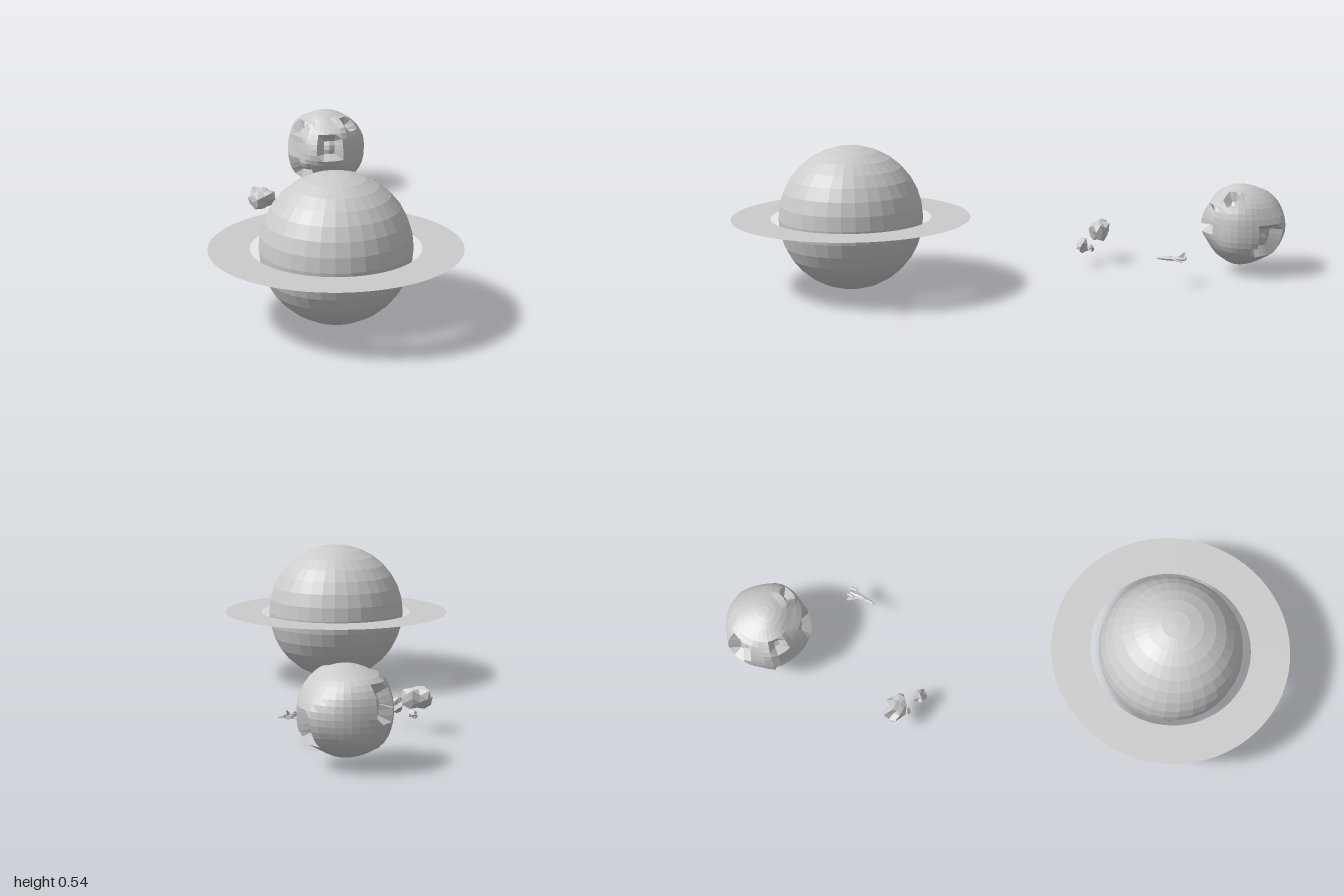
import * as THREE from 'three';
import { mergeVertices } from 'three/addons/utils/BufferGeometryUtils.js';

const V = (x, y, z) => new THREE.Vector3(x, y, z);
const flat = new THREE.MeshStandardMaterial({ color: 0xcccccc, flatShading: true });
const thin = new THREE.MeshStandardMaterial({ color: 0xcccccc, flatShading: true, side: THREE.DoubleSide });

function add(parent, name, geometry, position = [0, 0, 0], material = flat) {
  const mesh = new THREE.Mesh(geometry, material);
  mesh.name = name;
  mesh.position.set(...position);
  parent.add(mesh);
  return mesh;
}

// Move every vertex of a unit ball along its direction: radius = rule(direction)
function displace(geometry, rule) {
  const p = geometry.attributes.position;
  for (let i = 0; i < p.count; i++) {
    const d = V().fromBufferAttribute(p, i).normalize();
    d.multiplyScalar(rule(d.clone(), i));
    p.setXYZ(i, d.x, d.y, d.z);
  }
  return geometry;
}

// Scale and move a geometry so that it fills a box
function fit(geometry, min, max) {
  geometry.computeBoundingBox();
  const b = geometry.boundingBox;
  const size = b.getSize(V()), c = b.getCenter(V());
  geometry.translate(-c.x, -c.y, -c.z);
  geometry.scale(...[0, 1, 2].map(k => (max[k] - min[k]) / size.getComponent(k)));
  geometry.translate(...[0, 1, 2].map(k => (max[k] + min[k]) / 2));
  geometry.computeVertexNormals();
  return geometry;
}

// Moon: lumpy ball with squarish sunken craters and raised rims
function moonGeometry() {
  const craters = [ // direction, half width, half height, depth
    [V(-0.45, 0.6, 0.66), 0.17, 0.17, 0.16],
    [V(0.62, 0.74, 0.2), 0.16, 0.16, 0.16],
    [V(-0.92, 0.3, -0.22), 0.27, 0.36, 0.2],
    [V(0.62, -0.3, -0.72), 0.34, 0.36, 0.2],
    [V(0.52, 0.2, 0.83), 0.27, 0.34, 0.18],
    [V(-0.36, -0.5, 0.78), 0.32, 0.3, 0.18],
  ].map(([d, w, h, depth]) => {
    d.normalize();
    const side = V(0, 1, 0).cross(d).normalize();
    return { d, side, up: d.clone().cross(side), w, h, depth };
  });
  const g = new THREE.SphereGeometry(1, 36, 22);
  displace(g, d => {
    let r = 1 + 0.025 * Math.sin(4 * d.x + 1) * Math.cos(5 * d.y) + 0.02 * Math.sin(5 * d.z + 2 * d.x);
    for (const c of craters) {
      if (d.dot(c.d) < 0) continue;
      const q = Math.max(Math.abs(d.dot(c.side)) / c.w, Math.abs(d.dot(c.up)) / c.h);
      if (q < 0.85) r -= c.depth * (q < 0.4 ? 0.8 : 1);
      else if (q < 1.8) r += 0.06 * (1.8 - q) / 0.95;
    }
    return r;
  });
  return fit(g, [-0.627, 0.03, -1], [-0.298, 0.345, -0.675]);
}

// Rock: coarse ball with uneven spikes
function rockGeometry(seed, min, max) {
  let s = seed;
  const random = () => (s = (s * 16807) % 2147483647) / 2147483647;
  let g = new THREE.IcosahedronGeometry(1, 1);
  g.deleteAttribute('normal');
  g.deleteAttribute('uv');
  g = mergeVertices(g, 1e-3);
  return fit(displace(g, () => 0.55 + 0.55 * random()), min, max);
}

// Horizontal plate from an outline in x and z
function plate(points, thickness) {
  const shape = new THREE.Shape(points.map(([x, z]) => new THREE.Vector2(x, -z)));
  return new THREE.ExtrudeGeometry(shape, { depth: thickness, bevelEnabled: false }).rotateX(-Math.PI / 2);
}

function createShip() {
  const ship = new THREE.Group();
  ship.name = 'spaceship';
  // Fuselage tapering to the nose at +z
  const profile = [[0, -0.052], [0.008, -0.052], [0.011, -0.03], [0.009, 0.01], [0.006, 0.045], [0, 0.058]];
  const hull = new THREE.LatheGeometry(profile.map(([x, y]) => new THREE.Vector2(x, y)), 8);
  hull.rotateX(Math.PI / 2).scale(1, 0.85, 1);
  add(ship, 'hull', hull);
  const canopy = new THREE.SphereGeometry(0.007, 8, 6).scale(0.8, 0.8, 2);
  add(ship, 'canopy', canopy, [0, 0.006, 0.005]);
  for (const side of [-1, 1]) {
    const tag = side > 0 ? 'left' : 'right';
    const wing = [[0, 0.01], [0.012, -0.015], [0.037, -0.045], [0.035, -0.052], [0.012, -0.045], [0, -0.045]];
    add(ship, tag + 'Wing', plate(wing.map(([x, z]) => [x * side, z]), 0.003), [0, -0.004, 0], thin);
    add(ship, tag + 'Engine', new THREE.CylinderGeometry(0.005, 0.006, 0.026, 8).rotateX(Math.PI / 2),
      [side * 0.014, 0.003, -0.046]);
  }
  // Upright tail fin
  const fin = plate([[0, -0.025], [0.022, -0.05], [0.022, -0.058], [0, -0.05]], 0.003);
  add(ship, 'tailFin', fin.rotateZ(Math.PI / 2), [0.0015, 0.004, 0], thin);
  ship.position.set(-0.162, 0.101, -0.602);
  return ship;
}

export function createModel() {
  const model = new THREE.Group();
  model.name = 'spaceScene';

  // Ringed planet
  const planet = new THREE.Group();
  planet.name = 'ringedPlanet';
  planet.position.set(0.18, 0.27, 0.55);
  add(planet, 'planet', new THREE.SphereGeometry(0.27, 32, 16));
  add(planet, 'ring', new THREE.RingGeometry(0.3, 0.447, 64).rotateX(-Math.PI / 2), [0, 0, 0], thin);
  model.add(planet);

  add(model, 'crateredMoon', moonGeometry());

  // Drifting rocks
  const rocks = new THREE.Group();
  rocks.name = 'asteroids';
  add(rocks, 'largeAsteroid', rockGeometry(71, [-0.54, 0.08, -0.3], [-0.428, 0.168, -0.215]));
  add(rocks, 'smallAsteroid', rockGeometry(523, [-0.42, 0.05, -0.235], [-0.36, 0.11, -0.185]));
  add(rocks, 'tinyAsteroid', rockGeometry(911, [-0.48, 0.04, -0.245], [-0.445, 0.07, -0.215]));
  model.add(rocks);

  model.add(createShip());
  return model;
}
